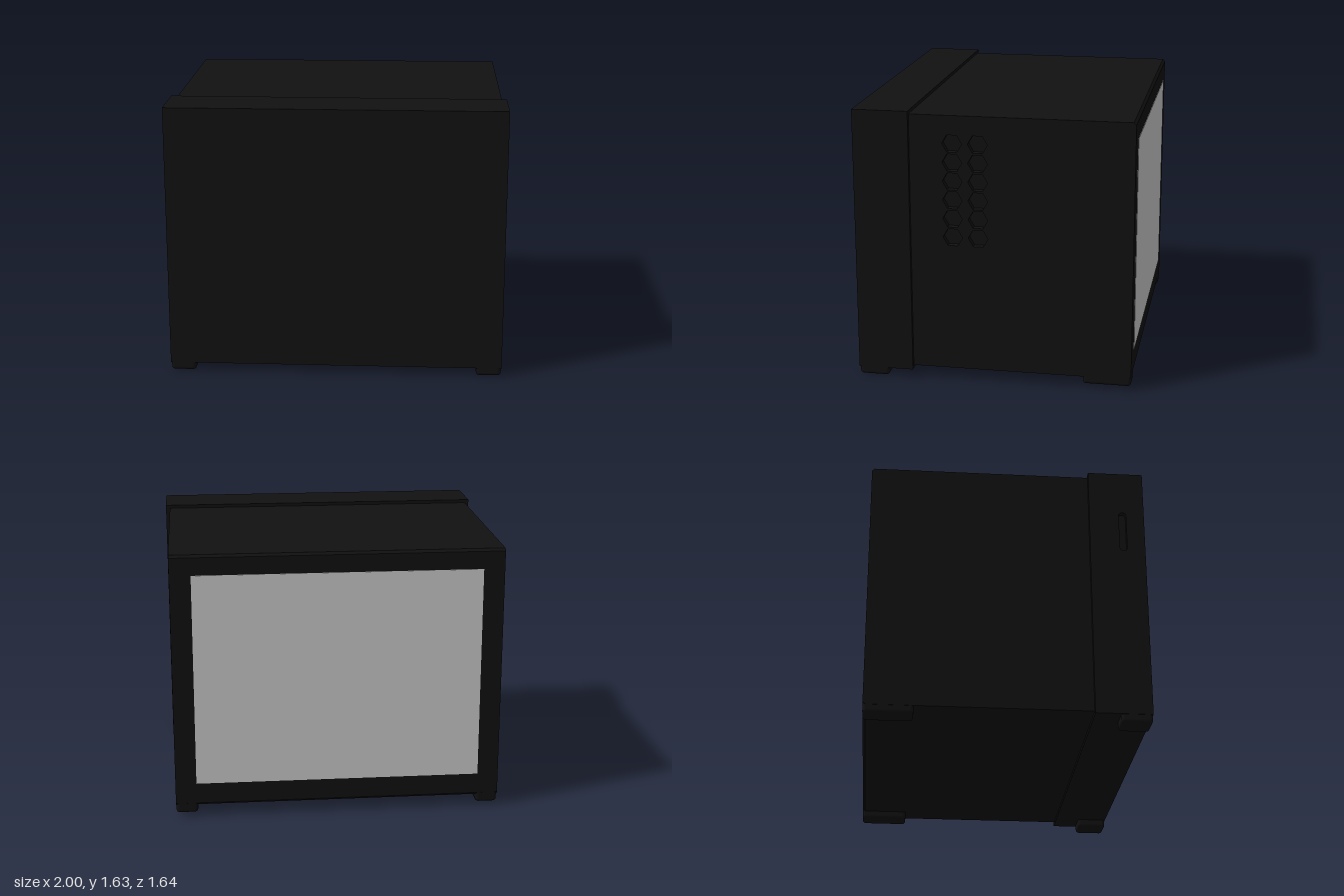
import * as THREE from 'three';
import { RoundedBoxGeometry } from 'three/addons/geometries/RoundedBoxGeometry.js';

const black = new THREE.MeshStandardMaterial({ color: 0x111111 });
const grey = new THREE.MeshStandardMaterial({ color: 0xcccccc });

// Side outline from z0 (back) to z1 (front), chamfered at the back; shape x is -z
function sideOutline(z0, z1, y0, y1, chamfer) {
  const s = new THREE.Shape();
  s.moveTo(-z1, y0);
  s.lineTo(-z0 - chamfer, y0);
  s.lineTo(-z0, y0 + chamfer);
  s.lineTo(-z0, y1 - chamfer);
  s.lineTo(-z0 - chamfer, y1);
  s.lineTo(-z1, y1);
  s.closePath();
  return s;
}

// Extrudes a side outline across the width from x0 to x1
function slab(name, shape, x0, x1) {
  const geo = new THREE.ExtrudeGeometry(shape, { depth: x1 - x0, bevelEnabled: false, curveSegments: 8 });
  geo.rotateY(Math.PI / 2).translate(x0, 0, 0);
  const mesh = new THREE.Mesh(geo, black);
  mesh.name = name;
  return mesh;
}

function hexHole(z, y, r) {
  const pts = [];
  for (let i = 0; i < 6; i++) {
    const a = (i * Math.PI) / 3;
    pts.push(new THREE.Vector2(-z + r * Math.cos(a), y + r * Math.sin(a)));
  }
  return new THREE.Path(pts);
}

function slotHole(z, y0, y1, r) {
  const p = new THREE.Path();
  p.absarc(-z, y1 - r, r, 0, Math.PI);
  p.absarc(-z, y0 + r, r, Math.PI, Math.PI * 2);
  p.closePath();
  return p;
}

export function createModel() {
  const model = new THREE.Group();
  model.name = 'cabinet';

  // Main body with a perforated skin on one side
  const body = () => sideOutline(-0.815, 0.49, 0.07, 1.61, 0.015);
  model.add(slab('body', body(), -0.975, 0.935));
  const ventPanel = body();
  for (const z of [0.24, 0.09]) {
    for (let row = 0; row < 6; row++) ventPanel.holes.push(hexHole(z, 0.885 + row * 0.112, 0.058));
  }
  model.add(slab('ventPanel', ventPanel, 0.935, 0.975));

  // Larger front housing with an upright slot on the other side
  const housing = () => sideOutline(0.49, 0.82, 0.05, 1.63, 0);
  model.add(slab('frontHousing', housing(), -0.97, 1));
  const slotPanel = housing();
  slotPanel.holes.push(slotHole(0.69, 1.1, 1.36, 0.022));
  model.add(slab('slotPanel', slotPanel, -1, -0.97));

  // Flush panel at the back
  const panel = new THREE.Mesh(new THREE.BoxGeometry(1.7, 1.28, 0.02), grey);
  panel.name = 'backPanel';
  panel.position.set(0, 0.85, -0.808);
  model.add(panel);

  // Feet
  for (const side of [-1, 1]) {
    const front = new THREE.Mesh(new RoundedBoxGeometry(0.15, 0.1, 0.18, 2, 0.02), black);
    front.name = 'frontFoot';
    front.position.set(side * 0.922, 0.05, 0.728);
    const back = new THREE.Mesh(new RoundedBoxGeometry(0.13, 0.1, 0.285, 2, 0.02), black);
    back.name = 'backFoot';
    back.position.set(side * 0.908, 0.072, -0.672);
    model.add(front, back);
  }
  return model;
}
